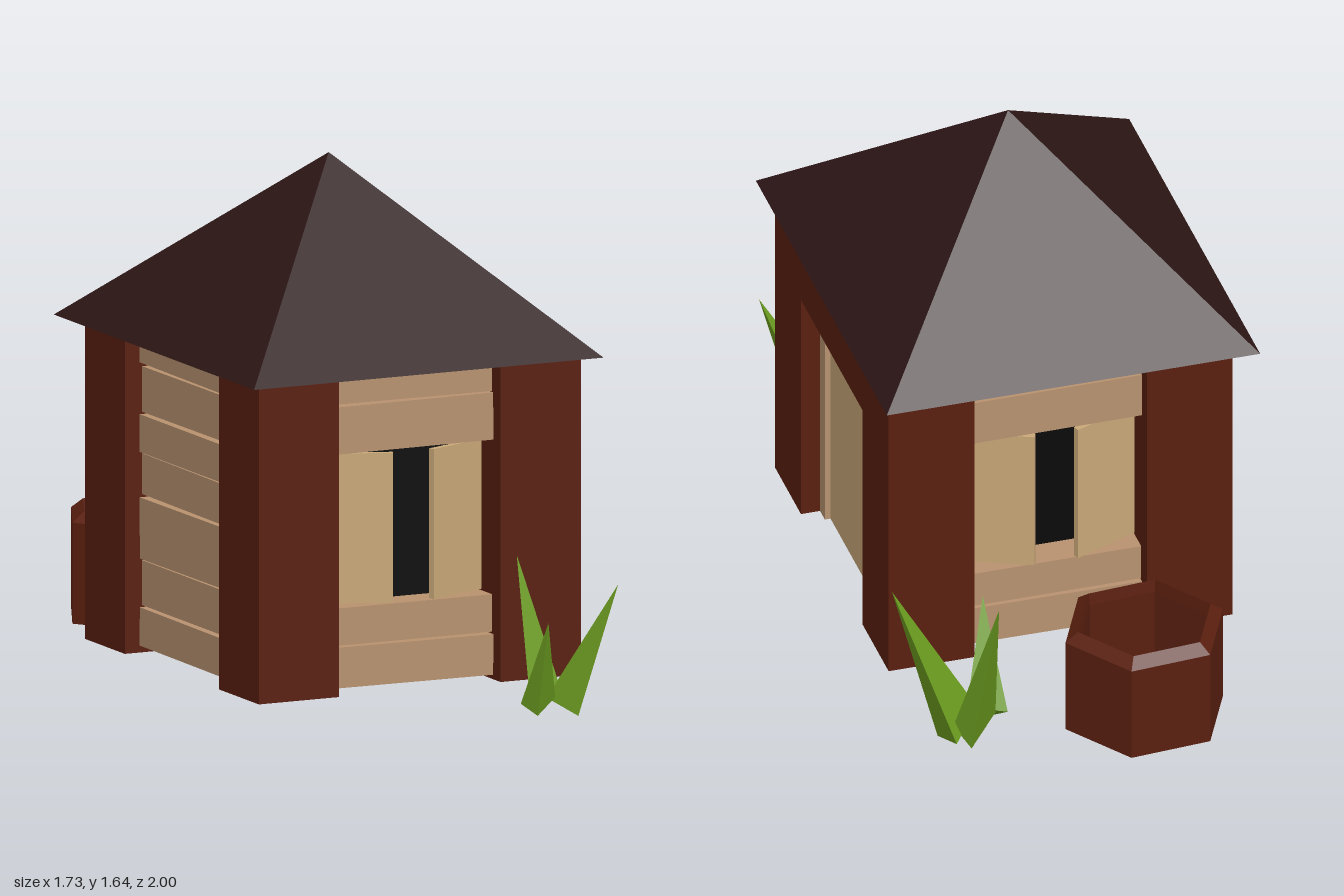
import * as THREE from 'three';

const mat = (color, extra = {}) => new THREE.MeshStandardMaterial({ color, flatShading: true, ...extra });
const WOOD = mat(0x5a1f0f), ROOF = mat(0x2e1616), PLANK = mat(0xb8926f);
const PANEL = mat(0xc9a878), DARK = mat(0x0a0a0a), GRASS = mat(0x6a9a1f, { side: THREE.DoubleSide });

// Body half sizes, post side and floor / eaves heights
const HX = 0.542, HZ = 0.59, POST = 0.27, Y0 = 0.09, Y1 = 1.075;

function add(parent, name, geometry, material, x = 0, y = 0, z = 0) {
  const mesh = new THREE.Mesh(geometry, material);
  mesh.name = name;
  mesh.position.set(x, y, z);
  parent.add(mesh);
  return mesh;
}

// Box given by its centre in x and z and its bottom and top
function slab(parent, name, material, w, d, bottom, top, x, z) {
  return add(parent, name, new THREE.BoxGeometry(w, top - bottom, d), material, x, (bottom + top) / 2, z);
}

// Horizontal boards filling a bay; the bay's outer face is z = 0, facing +z
function boards(parent, width, rows) {
  rows.forEach(([bottom, top], i) => {
    const board = slab(parent, 'wallPlank', PLANK, width, 0.1, bottom, top, 0, -0.1 - 0.008 * (i % 2));
    board.rotation.z = 0.004 * (i % 3 - 1);
  });
}

// Bay with boards above and below a pair of half-open shutters
function windowBay() {
  const bay = new THREE.Group();
  bay.name = 'windowBay';
  const half = HX - POST;
  boards(bay, half * 2, [[0.105, 0.23], [0.235, 0.35], [0.825, 0.97], [0.975, Y1]]);
  slab(bay, 'windowBacking', DARK, half * 2, 0.02, 0.3, 0.88, 0, -0.18);
  for (const side of [-1, 1]) {
    const hinge = new THREE.Group();
    hinge.name = 'shutter';
    hinge.position.set(side * half, 0, -0.14);
    hinge.rotation.y = side * 0.4;
    slab(hinge, 'shutterBoard', PANEL, 0.225, 0.02, 0.355, 0.815, -side * 0.1125, 0);
    bay.add(hinge);
  }
  return bay;
}

// Bay filled with boards from bottom to top
function plankBay() {
  const bay = new THREE.Group();
  bay.name = 'plankBay';
  boards(bay, (HZ - POST) * 2, [[0.11, 0.228], [0.235, 0.373], [0.38, 0.568], [0.575, 0.7],
    [0.706, 0.822], [0.83, 0.97], [0.98, Y1]]);
  return bay;
}

// Bay with a header and a framed door
function doorBay() {
  const bay = new THREE.Group();
  bay.name = 'doorBay';
  const half = HZ - POST, top = 0.86, inner = 0.27;
  slab(bay, 'doorHeader', WOOD, half * 2, 0.14, top, Y1, 0, -0.07);
  for (const side of [-1, 1])
    slab(bay, 'doorJamb', PANEL === null ? WOOD : PLANK, half - inner, 0.06, Y0, top, side * (half + inner) / 2, -0.09);
  slab(bay, 'doorLintel', PLANK, inner * 2, 0.06, 0.82, top, 0, -0.09);
  slab(bay, 'doorPanel', PANEL, inner * 2, 0.04, Y0, 0.82, 0, -0.098);
  return bay;
}

function house() {
  const group = new THREE.Group();
  group.name = 'house';
  for (const sx of [-1, 1])
    for (const sz of [-1, 1])
      slab(group, 'cornerPost', WOOD, POST, POST, Y0, Y1, sx * (HX - POST / 2), sz * (HZ - POST / 2));

  // Bays around the four sides
  const place = (bay, x, z, turn) => {
    bay.position.set(x, 0, z);
    bay.rotation.y = turn;
    group.add(bay);
  };
  place(windowBay(), 0, HZ, 0);
  place(windowBay(), 0, -HZ, Math.PI);
  place(plankBay(), -HX, 0, -Math.PI / 2);
  place(doorBay(), HX, 0, Math.PI / 2);

  // Four-sided roof
  const roof = new THREE.ConeGeometry(Math.SQRT1_2, 1, 4);
  roof.rotateY(Math.PI / 4);
  roof.scale(1.177, 0.565, 1.36);
  add(group, 'roof', roof, ROOF, -0.012, Y1 + 0.2825, -0.005);

  group.position.set(-0.017, 0, 0.122);
  group.rotation.y = 0.486;
  return group;
}

// Open six-sided tub with a chamfered rim
function tub() {
  const profile = [[0, 0.06], [0.255, 0.06], [0.255, 0.37], [0.215, 0.4], [0.21, 0.36], [0.21, 0.1], [0, 0.1]];
  const geometry = new THREE.LatheGeometry(profile.map(([r, y]) => new THREE.Vector2(r, y)), 6);
  const mesh = new THREE.Mesh(geometry, WOOD);
  mesh.name = 'tub';
  mesh.position.set(-0.605, 0, -0.685);
  mesh.rotation.y = 0.04;
  return mesh;
}

// Tuft of three pointed blades: tip, two shoulders and a foot each
function grassTuft() {
  const tuft = new THREE.Group();
  tuft.name = 'grassTuft';
  const blades = [
    [[-0.22, 0.58, -1.0], [-0.17, 0.08, -0.8], [-0.06, 0.08, -0.9], [-0.12, 0.02, -0.92]],
    [[0.14, 0.5, -0.84], [-0.08, 0.05, -0.95], [-0.11, 0.08, -0.78], [0.0, 0.0, -0.84]],
    [[-0.1, 0.39, -0.64], [-0.2, 0.06, -0.76], [-0.08, 0.08, -0.79], [-0.14, 0.02, -0.73]],
  ];
  for (const points of blades) {
    const geometry = new THREE.BufferGeometry();
    const order = [0, 1, 2, 0, 2, 3, 0, 3, 1, 1, 3, 2];
    // Keep the faces turned outwards
    const [a, b, c, d] = points.map((p) => new THREE.Vector3(...p));
    const volume = b.sub(a).cross(c.sub(a)).dot(d.sub(a));
    if (volume > 0) order.reverse();
    geometry.setAttribute('position', new THREE.Float32BufferAttribute(order.flatMap((i) => points[i]), 3));
    geometry.computeVertexNormals();
    add(tuft, 'grassBlade', geometry, GRASS);
  }
  return tuft;
}

export function createModel() {
  const model = new THREE.Group();
  model.name = 'hut';
  const frontTuft = grassTuft();
  frontTuft.scale.set(0.86, 0.81, 0.8);
  frontTuft.position.set(0.74, 0.035, 1.44);
  model.add(house(), tub(), grassTuft(), frontTuft);
  return model;
}
